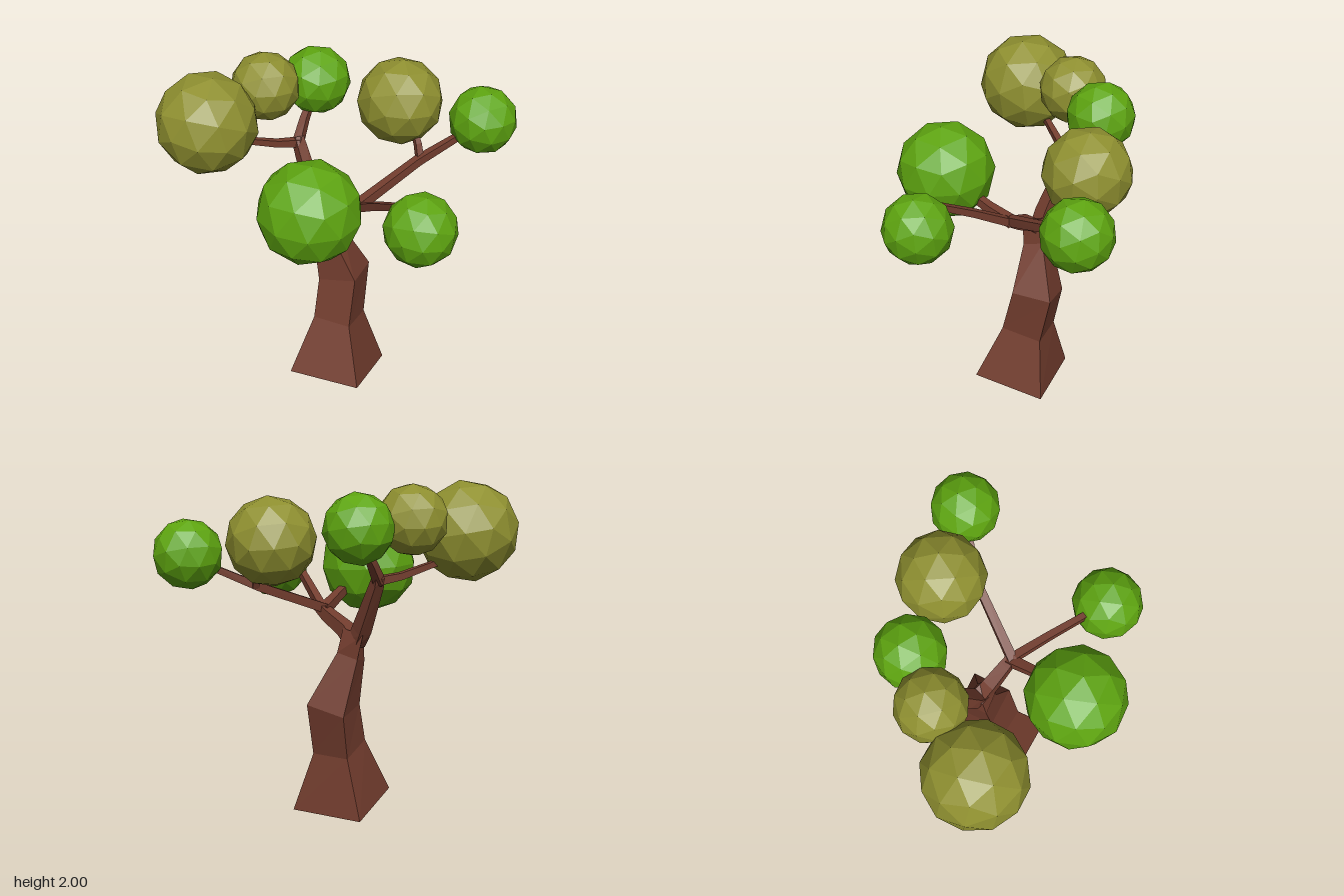
import * as THREE from 'three';

const flat = (name, color) => {
  const m = new THREE.MeshStandardMaterial({ color, flatShading: true });
  m.name = name;
  return m;
};

// Skin a stack of four-cornered rings, capped at both ends
function loft(rings) {
  const pos = [];
  const quad = (a, b, c, d) => [a, b, c, a, c, d].forEach((p) => pos.push(...p));
  for (let i = 0; i < rings.length - 1; i++) {
    const lo = rings[i], hi = rings[i + 1];
    for (let j = 0; j < 4; j++) {
      const k = (j + 1) % 4;
      quad(lo[j], lo[k], hi[k], hi[j]);
    }
  }
  const first = rings[0], last = rings[rings.length - 1];
  quad(first[3], first[2], first[1], first[0]);
  quad(...last);
  const geo = new THREE.BufferGeometry();
  geo.setAttribute('position', new THREE.Float32BufferAttribute(pos, 3));
  geo.computeVertexNormals();
  return geo;
}

// Square-section branch along points [x, y, z, halfWidth]
function branchGeometry(path) {
  const pts = path.map((p) => new THREE.Vector3(p[0], p[1], p[2]));
  const up = new THREE.Vector3(0, 1, 0);
  return loft(pts.map((p, i) => {
    const t = pts[Math.min(i + 1, pts.length - 1)].clone().sub(pts[Math.max(i - 1, 0)]).normalize();
    const u = t.clone().cross(up).normalize();
    const v = t.clone().cross(u);
    const h = path[i][3];
    return [[-1, -1], [1, -1], [1, 1], [-1, 1]].map(([a, b]) =>
      p.clone().addScaledVector(u, a * h).addScaledVector(v, b * h).toArray());
  }));
}

export function createModel() {
  const tree = new THREE.Group();
  tree.name = 'tree';
  const bark = flat('bark brown', 0x733d2e);
  const green = flat('leaf green', 0x5ea510);
  const olive = flat('leaf olive', 0x8f9030);

  const add = (name, geo, mat) => {
    const mesh = new THREE.Mesh(geo, mat);
    mesh.name = name;
    tree.add(mesh);
    return mesh;
  };

  // Crooked trunk; corners run front right, front left, back left, back right
  add('trunk', loft([
    [[-0.17, 0.065, 0.41], [0.235, 0.065, 0.235], [0.06, 0, -0.165], [-0.345, 0, 0.01]],
    [[-0.135, 0.41, 0.235], [0.08, 0.4, 0.15], [-0.02, 0.36, -0.075], [-0.23, 0.36, 0.01]],
    [[-0.15, 0.65, 0.175], [0.06, 0.69, 0.08], [-0.04, 0.68, -0.14], [-0.25, 0.63, -0.04]],
    [[-0.19, 0.93, 0.175], [-0.08, 0.96, 0.125], [-0.13, 0.99, 0.015], [-0.25, 0.96, 0.065]],
    [[-0.2, 1.08, 0.155], [-0.08, 1.07, 0.13], [-0.13, 1.13, 0.06], [-0.28, 1.11, 0.08]],
  ]), bark);

  // Limbs forking from the trunk, then thin branches into each crown
  const branches = {
    rightLimb: [[-0.19, 1.04, 0.105, 0.04], [-0.24, 1.13, 0.105, 0.042], [-0.395, 1.43, 0.08, 0.03], [-0.42, 1.48, 0.07, 0.026]],
    rightFrontBranch: [[-0.405, 1.45, 0.07, 0.024], [-0.46, 1.47, 0.2, 0.02], [-0.55, 1.54, 0.42, 0.016]],
    rightBackBranch: [[-0.41, 1.44, 0.085, 0.027], [-0.44, 1.56, 0, 0.022], [-0.46, 1.68, -0.09, 0.016]],
    leftLimb: [[-0.17, 1.05, 0.105, 0.04], [-0.1, 1.115, 0.1, 0.04], [0.03, 1.18, 0.08, 0.034], [0.1, 1.225, 0.07, 0.028]],
    leftSideBranch: [[0.06, 1.2, 0.07, 0.025], [0.3, 1.34, 0.135, 0.021], [0.53, 1.46, 0.2, 0.018]],
    leftFrontBranch: [[0.06, 1.2, 0.07, 0.03], [0.11, 1.26, 0.22, 0.026], [0.15, 1.34, 0.4, 0.02]],
    leftBackBranch: [[0.07, 1.21, 0.09, 0.028], [0.155, 1.385, -0.34, 0.024], [0.28, 1.52, -0.6, 0.018]],
    backTwig: [[0.155, 1.385, -0.36, 0.02], [0.12, 1.47, -0.375, 0.018], [0.07, 1.55, -0.39, 0.015]],
  };
  for (const [name, path] of Object.entries(branches)) add(name, branchGeometry(path), bark);

  // Faceted leaf crowns: name, material, centre, radius, turn
  [
    ['rightFrontCrown', olive, [-0.585, 1.7, 0.6], 0.292, 0.2],
    ['rightMiddleCrown', olive, [-0.555, 1.8, 0.19], 0.202, 0.7],
    ['rightBackCrown', green, [-0.46, 1.77, -0.12], 0.202, 1.1],
    ['backCrown', olive, [-0.05, 1.68, -0.4], 0.255, 0.5],
    ['leftBackCrown', green, [0.335, 1.59, -0.695], 0.202, 0.9],
    ['leftSideCrown', green, [0.67, 1.375, 0.19], 0.205, 0.3],
    ['leftFrontCrown', green, [0.165, 1.41, 0.525], 0.292, 1.4],
  ].forEach(([name, mat, centre, radius, turn]) => {
    const crown = add(name, new THREE.IcosahedronGeometry(radius, 1), mat);
    crown.position.set(...centre);
    crown.rotation.set(0.55, turn, 0);
  });

  return tree;
}
